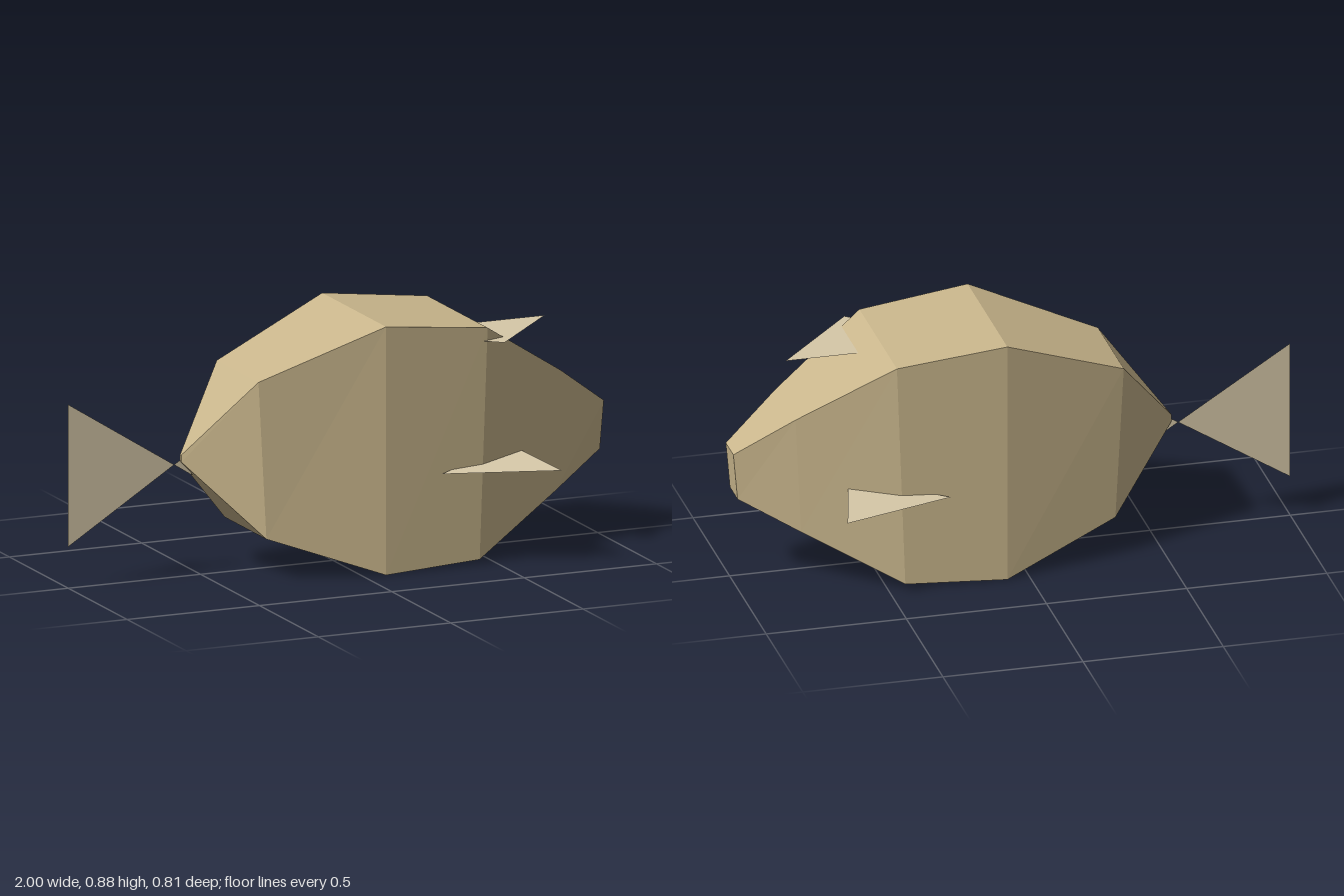
import * as THREE from 'three';

const bodyMaterial = new THREE.MeshStandardMaterial({ color: 0xc9b68c, flatShading: true });
const finMaterial = new THREE.MeshStandardMaterial({ color: 0xd6c8a8, flatShading: true, side: THREE.DoubleSide });

// Mesh from a list of flat-shaded triangles, each three [x, y, z] corners
function facets(name, triangles, material) {
  const geometry = new THREE.BufferGeometry();
  geometry.setAttribute('position', new THREE.Float32BufferAttribute(triangles.flat(2), 3));
  geometry.computeVertexNormals();
  const mesh = new THREE.Mesh(geometry, material);
  mesh.name = name;
  return mesh;
}

const quad = (a, b, c, d) => [[a, b, c], [a, c, d]];

export function createModel() {
  const fish = new THREE.Group();
  fish.name = 'fish';

  // Body: rectangular cross-sections from tail to nose
  // [top x, top y, bottom x, bottom y, half width]
  const sections = [
    [-0.575, 0.435, -0.575, 0.41, 0.005],
    [-0.36, 0.71, -0.33, 0.15, 0.177],
    [0.08, 0.885, 0.08, 0.003, 0.272],
    [0.47, 0.84, 0.44, 0.02, 0.257],
    [0.8, 0.63, 0.78, 0.203, 0.135],
    [1.0, 0.485, 0.985, 0.315, 0.052],
  ];
  const rings = sections.map(([tx, ty, bx, by, w]) => [[tx, ty, w], [tx, ty, -w], [bx, by, -w], [bx, by, w]]);
  const skin = [];
  for (let s = 0; s < rings.length - 1; s++) {
    const a = rings[s], b = rings[s + 1];
    for (let i = 0; i < 4; i++) {
      const j = (i + 1) % 4;
      skin.push(...quad(a[i], b[i], b[j], a[j]));
    }
  }
  skin.push(...quad(...rings[0]), ...quad(...[...rings.at(-1)].reverse()));
  fish.add(facets('body', skin, bodyMaterial));

  // Tail fin: large triangle with a small root wedge meeting at the pinch
  const pinch = [-0.6, 0.402, 0];
  fish.add(facets('tailFin', [
    [pinch, [-1, 0.655, 0], [-1, 0.15, 0]],
    [pinch, [-0.53, 0.357, 0], [-0.565, 0.424, 0]],
  ], finMaterial));

  // Side fins, mirrored across the body
  for (const [name, side] of [['finFront', 1], ['finBack', -1]]) {
    fish.add(facets(name, [[
      [0.285, 0.345, 0.285 * side],
      [0.685, 0.345, 0.407 * side],
      [0.61, 0.384, 0.13 * side],
    ]], finMaterial));
  }

  // Upper fin, lying flat and poking out of the forehead
  fish.add(facets('upperFin', [[[0.8, 0.795, 0], [0.14, 0.795, 0], [0.51, 0.795, 0.31]]], finMaterial));

  return fish;
}
